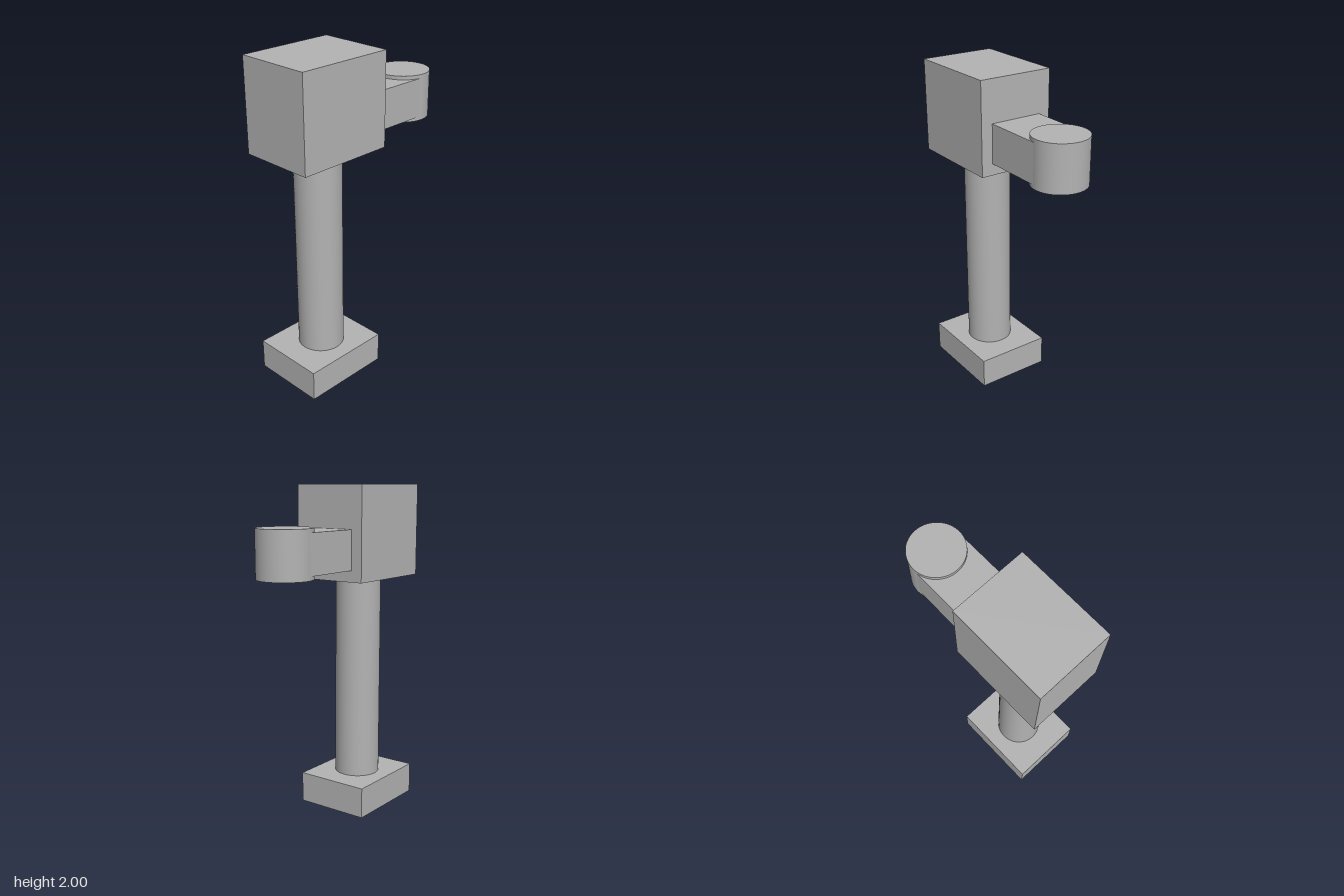
import * as THREE from 'three';

export function createModel() {
  const model = new THREE.Group();
  const grey = new THREE.MeshStandardMaterial({ color: 0xb3b3b3 });
  grey.name = 'plain grey';

  const add = (name, geometry, x, y) => {
    const mesh = new THREE.Mesh(geometry, grey);
    mesh.name = name;
    mesh.position.set(x, y, 0);
    model.add(mesh);
  };
  // Box and upright cylinder given by their limits
  const box = (name, x0, x1, y0, y1, depth) =>
    add(name, new THREE.BoxGeometry(x1 - x0, y1 - y0, depth), (x0 + x1) / 2, (y0 + y1) / 2);
  const cylinder = (name, x, radius, y0, y1) =>
    add(name, new THREE.CylinderGeometry(radius, radius, y1 - y0, 64), x, (y0 + y1) / 2);

  // Foot, post and head block
  box('base', -0.56, -0.004, 0, 0.188, 0.463);
  cylinder('column', -0.28, 0.139, 0.188, 1.445);
  box('head', -0.58, 0.02, 1.445, 2, 0.463);

  // Side arm ending in an upright drum
  box('arm', 0.02, 0.417, 1.513, 1.748, 0.322);
  cylinder('drum', 0.4175, 0.1625, 1.49, 1.77);

  return model;
}
